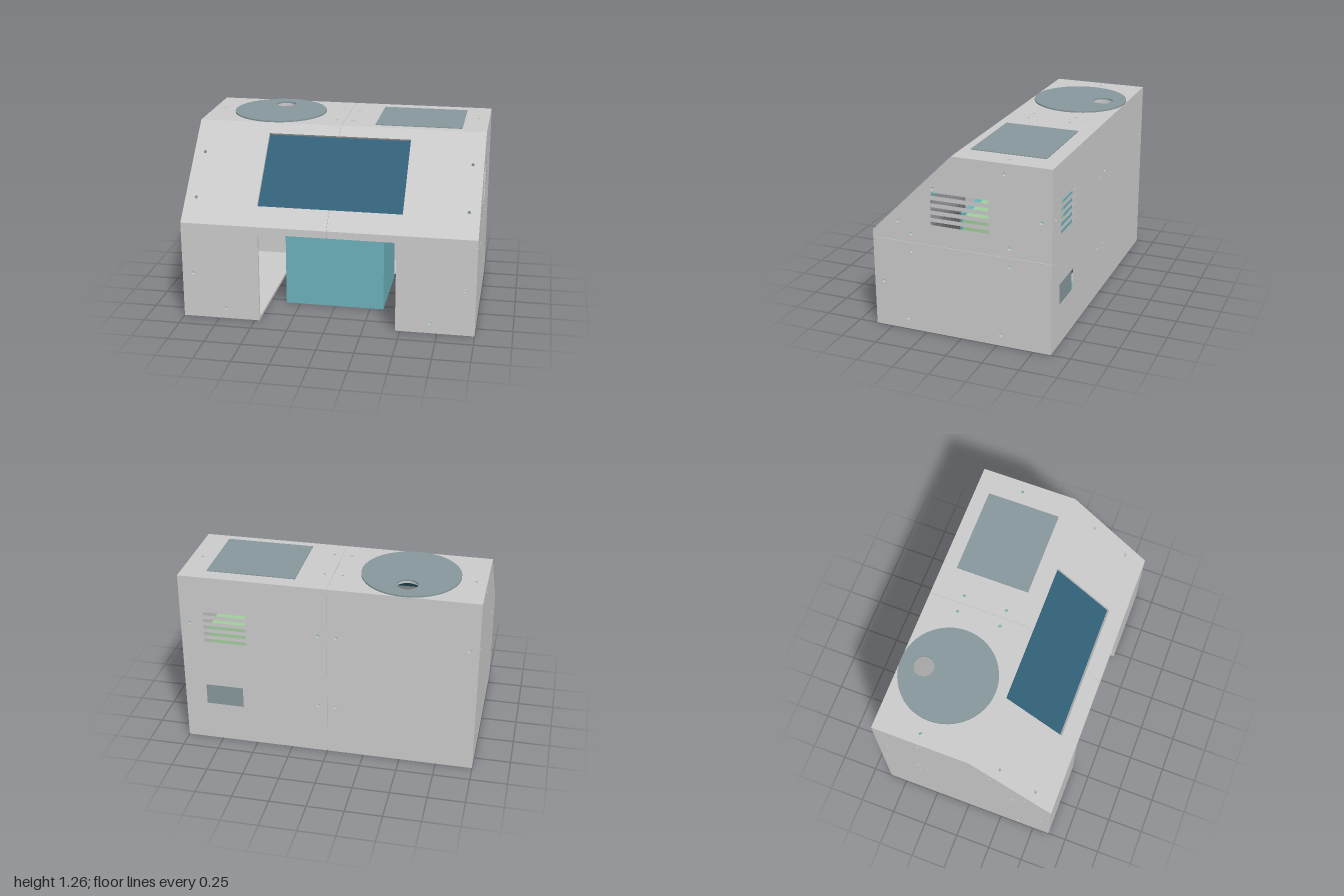
import * as THREE from 'three';

const T = 0.02;            // sheet thickness
const R2 = Math.SQRT1_2;
const V = (x, y, z) => new THREE.Vector3(x, y, z);

export function createModel() {
  const model = new THREE.Group();
  const mat = (name, color) => {
    const m = new THREE.MeshStandardMaterial({ color });
    m.name = name;
    return m;
  };
  const shell = mat('shellGrey', 0xcacaca);
  const teal = mat('teal', 0x6cb0ba);
  const screenBlue = mat('screenBlue', 0x326078);
  const slate = mat('slate', 0x87979b);
  const green = mat('green', 0xa0cc9c);

  const rect = (x0, y0, x1, y1) => [[x0, y0], [x1, y0], [x1, y1], [x0, y1]];

  // Flat plate drawn in the plane (u, v), extruded from t0 to t1 along u x v.
  // cuts: [x, y] or [x, y, r] are round holes, arrays of points are polygons.
  function plate(name, material, pts, cuts, o, u, v, t0 = -T, t1 = 0) {
    const toPts = (list) => list.map(([x, y]) => new THREE.Vector2(x, y));
    const shape = new THREE.Shape(toPts(pts));
    for (const c of cuts) {
      const path = new THREE.Path();
      if (Array.isArray(c[0])) path.setFromPoints(toPts(c));
      else path.absarc(c[0], c[1], c[2] || 0.011, 0, Math.PI * 2, false);
      shape.holes.push(path);
    }
    const g = new THREE.ExtrudeGeometry(shape, { depth: t1 - t0, bevelEnabled: false, curveSegments: 16 });
    g.translate(0, 0, t0);
    const n = u.clone().cross(v);
    g.applyMatrix4(new THREE.Matrix4().makeBasis(u, v, n).setPosition(o));
    const mesh = new THREE.Mesh(g, material);
    mesh.name = name;
    model.add(mesh);
  }

  function box(name, material, x0, x1, y0, y1, z0, z1) {
    const mesh = new THREE.Mesh(new THREE.BoxGeometry(x1 - x0, y1 - y0, z1 - z0), material);
    mesh.position.set((x0 + x1) / 2, (y0 + y1) / 2, (z0 + z1) / 2);
    mesh.name = name;
    model.add(mesh);
  }

  // L-shaped corner bracket with one leg along a and one along b
  function bracket(p, a, b) {
    const w = a.clone().cross(b), L = 0.09, h = 0.053, W = 0.04;
    plate('bracketLeg', teal, rect(-W, 0, W, L), [[0, h]], p, w, a, 0, 0.012);
    plate('bracketLeg', teal, rect(0, -W, L, W), [[h, 0]], p, b, w, 0, 0.012);
  }

  const X = V(1, 0, 0), Y = V(0, 1, 0), Z = V(0, 0, 1);
  const slopeUp = V(0, R2, -R2);
  const slopeY = (y) => (y - 0.68) / R2;
  const slotRows = [0.783, 0.833, 0.883, 0.932, 0.983];
  const E = 0.98;

  for (const s of [1, -1]) {
    const side = s > 0 ? 'left' : 'right';
    const flip = (pts) => pts.map(([x, y, r]) => [s * x, y, r]);

    // side walls, with vent slots on one side only
    const wall = (pts) => pts.map(([z, y]) => [-s * z, y]);
    const sideAxes = [V(s, 0, 0), V(0, 0, -s), Y];
    plate(side + 'LowerWall', shell, wall(rect(-0.62, 0, 0.62, 0.628)),
      wall([[0.345, 0.565], [-0.34, 0.565], [0.555, 0.32], [0.385, 0.075], [-0.275, 0.075]]), ...sideAxes);
    const sideSlots = s > 0 ? slotRows.map((y) => wall(rect(-0.2, y - 0.011, 0.2, y + 0.011))) : [];
    plate(side + 'UpperWall', shell,
      wall([[-0.62, 0.63], [0.62, 0.63], [0.62, 0.68], [0.05, 1.25], [-0.62, 1.25]]),
      [...wall([[0.345, 0.69], [-0.34, 0.69], [0.435, 0.765], [0.185, 1.02], [-0.305, 1.18], [-0.55, 0.895]]),
        ...sideSlots], ...sideAxes);

    // front wing with its half of the strip above the opening
    plate(side + 'FrontPanel', shell,
      flip([[0.467, 0], [E, 0], [E, 0.68], [0.001, 0.68], [0.001, 0.63], [0.467, 0.63]]),
      flip([[0.925, 0.32], [0.7, 0.075]]), V(0, 0, 0.62), X, Y);

    // sloped panel, half of the screen opening cut from its inner edge
    const a = slopeY(0.79), b = slopeY(1.19), top = slopeY(1.25);
    plate(side + 'SlopedPanel', shell,
      flip([[0.001, 0], [E, 0], [E, top], [0.001, top], [0.001, b], [0.493, b], [0.493, a], [0.001, a]]),
      flip([[0.925, slopeY(0.82)], [0.925, slopeY(1.07)]]), V(0, 0.68, 0.62), X, slopeUp);

    // top panel
    const topCuts = flip([[0.925, 0.31], [0.06, 0.4], [0.06, 0.1]]);
    if (s < 0) topCuts.push([-0.5, 0.46, 0.08]);
    plate(side + 'TopPanel', shell, flip(rect(0.001, -0.05, E, 0.62)), topCuts,
      V(0, 1.25, 0), X, V(0, 0, -1));

    // back panel, with vents and a window on one half
    const back = (pts) => pts.map(([x, y]) => [-x, y]);
    const backCuts = back(flip([[0.06, 0.9], [0.06, 0.36], [0.935, 0.905]]));
    if (s > 0) {
      for (const y of slotRows) backCuts.push(back(rect(0.55, y - 0.011, 0.84, y + 0.011)));
      backCuts.push(back(rect(0.59, 0.28, 0.85, 0.43)));
    }
    plate(side + 'BackPanel', shell, back(flip(rect(0.001, 0, E, 1.245))), backCuts,
      V(0, 0, -0.62), V(-1, 0, 0), Y);

    // floor, cut away around the opening
    plate(side + 'Floor', shell,
      flip([[0.001, -0.6], [E, -0.6], [E, 0.6], [0.467, 0.6], [0.467, -0.36], [0.001, -0.36]]),
      flip([[0.925, 0.38], [0.925, -0.275], [0.7, 0.55], [0.06, -0.44], [0.06, -0.5]]),
      V(0, 0, 0), X, Z);

    // inner brackets along the side walls
    const inward = V(-s, 0, 0), xw = s * E;
    for (const z of [0.385, -0.275]) bracket(V(xw, 0.02, z), Y, inward);
    bracket(V(xw, 1.23, -0.305), V(0, -1, 0), inward);
    bracket(V(xw, 0.895, -0.6), Z, inward);
    bracket(V(xw, 0.32, 0.6), V(0, 0, -1), inward);
    for (const [z, y] of [[0.47, 0.8], [0.22, 1.055]]) bracket(V(xw, y, z), V(0, -R2, -R2), inward);
    bracket(V(s * 0.7, 0.02, 0.6), Y, V(0, 0, -1));

    // straps joining lower and upper walls
    for (const z of [0.345, -0.34]) {
      plate('wallStrap', teal, wall(rect(z - 0.04, 0.53, z + 0.04, 0.725)),
        wall([[z, 0.565], [z, 0.69]]), ...sideAxes, -T - 0.012, -T);
    }
  }

  // straps across the centre seam
  for (const z of [-0.4, -0.1]) box('topStrap', teal, -0.1, 0.1, 1.218, 1.23, z - 0.04, z + 0.04);
  for (const y of [0.36, 0.9]) box('backStrap', teal, -0.1, 0.1, y - 0.04, y + 0.04, -0.6, -0.588);
  box('floorStrap', teal, -0.1, 0.1, 0.02, 0.032, -0.53, -0.41);

  // screen behind the sloped opening
  plate('screen', screenBlue, rect(-0.52, slopeY(0.775), 0.52, slopeY(1.205)), [],
    V(0, 0.68, 0.62), X, slopeUp, -T - 0.01, -T);

  // round plate with an off-centre hole, and square plate, on the top
  const circle = [];
  for (let i = 0; i < 48; i++) {
    const t = (i / 48) * Math.PI * 2;
    circle.push([-0.5 + 0.33 * Math.cos(t), 0.29 + 0.33 * Math.sin(t)]);
  }
  plate('roundPlate', slate, circle, [[-0.5, 0.46, 0.07]], V(0, 1.25, 0), X, V(0, 0, -1), 0, 0.01);
  box('squarePlate', slate, 0.23, 0.83, 1.25, 1.255, -0.52, -0.01);
  box('backWindow', slate, 0.57, 0.87, 0.26, 0.45, -0.605, -0.597);

  // bin in the front opening, and the unit behind the vents
  box('bin', teal, -0.35, 0.343, 0, 0.6, -0.293, 0.293);
  box('innerUnit', green, 0.3, 0.86, 0.65, 0.795, -0.45, 0.04);

  return model;
}
